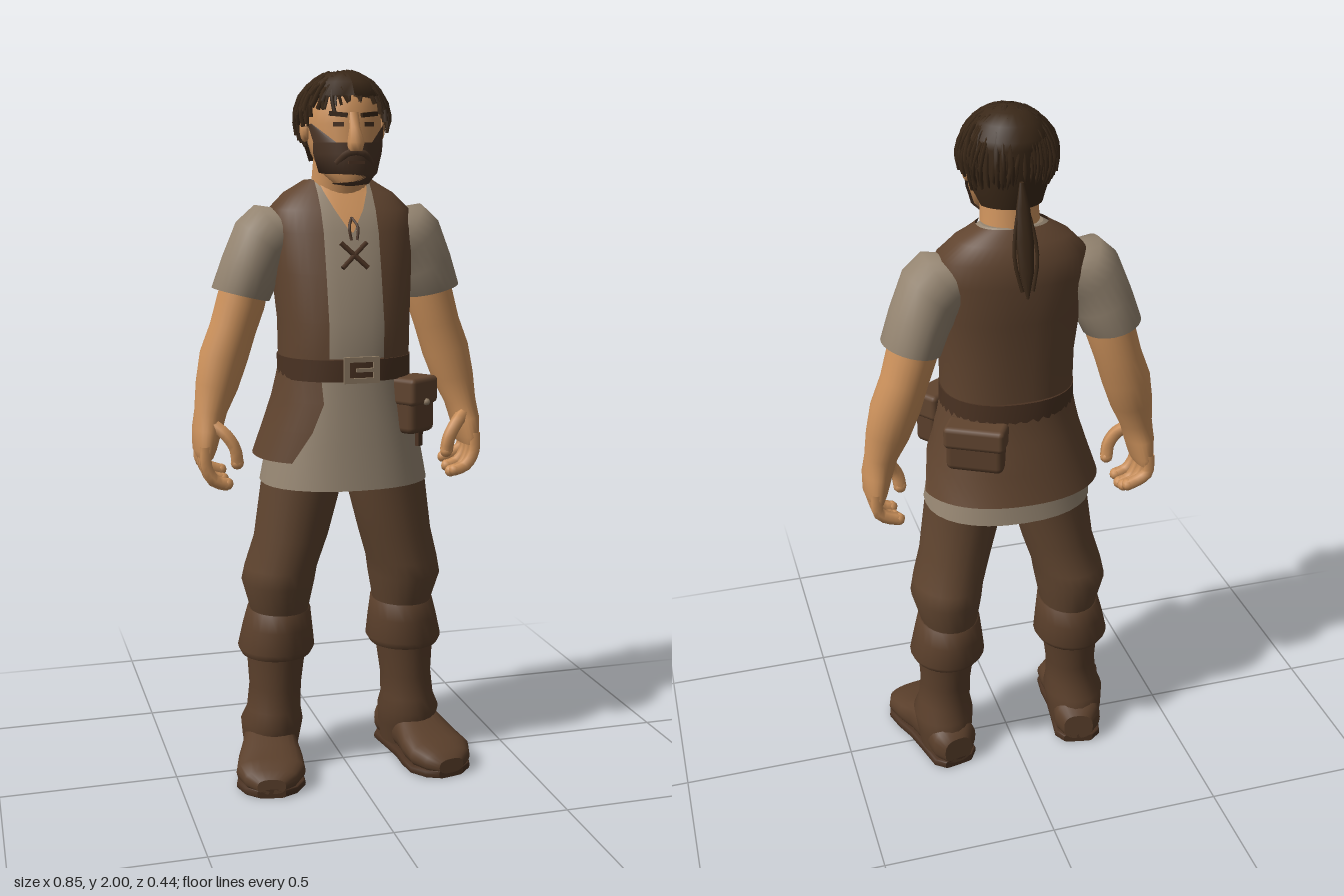
import * as THREE from 'three';
import { mergeGeometries } from 'three/addons/utils/BufferGeometryUtils.js';
import { RoundedBoxGeometry } from 'three/addons/geometries/RoundedBoxGeometry.js';

const mat = (name, color, side = THREE.FrontSide) => {
  const m = new THREE.MeshStandardMaterial({ color, side });
  m.name = name;
  return m;
};
const D = THREE.DoubleSide;
const vestBrown = mat('vest brown', 0x60442f, D);
const trouserBrown = mat('trouser brown', 0x5f442f);
const bootBrown = mat('boot brown', 0x5a3f2b);
const darkLeather = mat('dark leather', 0x4a3222);
const linen = mat('linen', 0x968672, D);
const skin = mat('skin', 0xcd925c, D);
const hairBrown = mat('hair brown', 0x3a2818, D);
const beardBrown = mat('beard brown', 0x4a3425, D);
const metal = mat('dull metal', 0x8d7a63);

// Skin over elliptical rows [x, y, z, rx, rz, roll, pitch].
// With arcs (degrees per row, 90 = front) the surface is an open sheet.
function loft(rows, { seg = 24, pow = 1, arcs = null, cap = !arcs } = {}) {
  const pos = [], idx = [], n = arcs ? seg + 1 : seg;
  const bend = (v) => Math.sign(v) * Math.abs(v) ** pow;
  rows.forEach(([x, y, z, rx, rz, roll = 0, pitch = 0], r) => {
    const [a0, a1] = arcs ? arcs[r] : [0, 360];
    const e = new THREE.Euler(pitch, 0, roll);
    for (let i = 0; i < n; i++) {
      const a = THREE.MathUtils.degToRad(a0 + ((a1 - a0) * i) / seg);
      const p = new THREE.Vector3(rx * bend(Math.cos(a)), 0, rz * bend(Math.sin(a))).applyEuler(e);
      pos.push(p.x + x, p.y + y, p.z + z);
    }
  });
  for (let r = 0; r < rows.length - 1; r++) {
    for (let i = 0; i < seg; i++) {
      const a = r * n + i, b = r * n + ((i + 1) % n);
      idx.push(a, a + n, b, b, a + n, b + n);
    }
  }
  if (cap) {
    [0, rows.length - 1].forEach((r) => {
      const c = pos.length / 3;
      pos.push(...rows[r].slice(0, 3), ...pos.slice(r * n * 3, (r + 1) * n * 3));
      for (let i = 0; i < n; i++) {
        const a = c + 1 + i, b = c + 1 + ((i + 1) % n);
        idx.push(...(r ? [c, b, a] : [c, a, b]));
      }
    });
  }
  // Turn the faces outward, whichever way the rows run
  let volume = 0;
  const v = (i) => new THREE.Vector3().fromArray(pos, i * 3);
  for (let i = 0; i < idx.length; i += 3) volume += v(idx[i]).dot(v(idx[i + 1]).cross(v(idx[i + 2])));
  if (volume < 0) idx.reverse();
  const g = new THREE.BufferGeometry();
  g.setAttribute('position', new THREE.Float32BufferAttribute(pos, 3));
  g.setIndex(idx);
  g.computeVertexNormals();
  return g;
}
const tube = (pts, radius, seg = 8, sides = 6) => new THREE.TubeGeometry(
  new THREE.CatmullRomCurve3(pts.map((p) => new THREE.Vector3(...p))), seg, radius, sides);
const grow = (rows, d) => rows.map(([x, y, z, rx, rz]) => [x, y, z, rx + d, rz + d]);

export function createModel() {
  const model = new THREE.Group();
  const add = (name, geo, m, p = [0, 0, 0], rot = [0, 0, 0], parent = model) => {
    const o = new THREE.Mesh(geo, m);
    o.name = name;
    o.position.set(...p);
    o.rotation.set(...rot);
    parent.add(o);
    return o;
  };
  let seed = 7;
  const rnd = () => ((seed = (seed * 16807) % 2147483647) / 2147483647);

  // Torso: shirt, open vest and bare throat share one profile
  const body = [[0, 1.21, 0, 0.183, 0.157], [0, 1.32, 0, 0.185, 0.157], [0, 1.45, -0.02, 0.196, 0.147],
    [0, 1.56, -0.04, 0.206, 0.138], [0, 1.62, -0.05, 0.2, 0.118], [0, 1.665, -0.057, 0.155, 0.092], [0, 1.7, -0.055, 0.096, 0.066]];
  const pow = 0.85;
  const edge = (rx, x) => THREE.MathUtils.radToDeg(Math.acos(Math.min(1, x / rx) ** (1 / pow)));
  add('shirt', loft(grow(body, -0.013), { pow, seg: 32 }), linen);
  add('vest', loft(body, { pow, seg: 40, arcs: body.map((r) => [180 - edge(r[3], 0.08), 360 + edge(r[3], 0.075)]) }), vestBrown);
  const throat = grow(body.slice(3), -0.007), open = [0.004, 0.04, 0.06, 0.07];
  add('throat', loft(throat, { pow, seg: 8, arcs: throat.map((r, i) => [edge(r[3], open[i]), 180 - edge(r[3], open[i])]) }), skin);
  for (const s of [-1, 1]) add('shirtLace', new THREE.CylinderGeometry(0.007, 0.007, 0.1, 6), darkLeather, [0, 1.5, 0.115], [-0.27, 0, s * 0.8]);
  for (const s of [-1, 1]) add('laceEnd', tube([[0, 1.6, 0.085], [s * 0.012, 1.575, 0.105], [s * 0.008, 1.54, 0.112]], 0.004), darkLeather);

  // Shirt hem and the vest tails over it
  const hem = [[0, 1.2, 0, 0.172, 0.152], [0, 1.1, 0, 0.188, 0.16], [0, 0.98, 0, 0.217, 0.172], [0, 0.86, -0.003, 0.24, 0.187]];
  add('shirtHem', loft(hem, { cap: false, pow: 0.9, seg: 32 }), linen);
  const tails = [[0, 1.2, -0.002, 0.182, 0.158], [0, 1.1, -0.006, 0.203, 0.174], [0, 1.02, -0.014, 0.228, 0.188], [0, 0.935, -0.022, 0.256, 0.2]];
  add('vestTails', loft(tails, { seg: 32, pow: 0.9, arcs: [[122, 410], [116, 394], [122, 375], [133, 350]] }), vestBrown);

  // Belt, buckle and pouches
  const band = [[0, 1.16, 0, 0.187, 0.166], [0, 1.22, 0, 0.187, 0.166]];
  add('belt', loft(band, { pow: 0.9, seg: 32 }), darkLeather);
  const buckle = new THREE.Shape([[-0.05, -0.036], [0.05, -0.036], [0.05, 0.036], [-0.05, 0.036]].map((p) => new THREE.Vector2(...p)));
  buckle.holes.push(new THREE.Path([[-0.034, -0.022], [-0.034, 0.022], [0.034, 0.022], [0.034, -0.022]].map((p) => new THREE.Vector2(...p))));
  add('buckle', new THREE.ExtrudeGeometry(buckle, { depth: 0.012, bevelEnabled: false }), metal, [0.005, 1.193, 0.162]);
  add('bucklePin', new THREE.BoxGeometry(0.05, 0.01, 0.01), metal, [0.015, 1.193, 0.17]);
  const pouch = (name, p, turn, w, h, d) => {
    const g = new THREE.Group();
    g.name = name;
    g.position.set(...p);
    g.rotation.y = turn;
    model.add(g);
    add('pouchBody', new RoundedBoxGeometry(w, h, d, 2, 0.018), bootBrown, [0, 0, 0], [0, 0, 0], g);
    add('pouchFlap', new RoundedBoxGeometry(w + 0.01, h * 0.5, d + 0.014, 2, 0.014), vestBrown, [0, h * 0.27, 0], [0, 0, 0], g);
    return g;
  };
  const front = pouch('frontPouch', [0.172, 1.082, 0.115], 0.62, 0.11, 0.155, 0.075);
  add('pouchButton', new THREE.SphereGeometry(0.01, 8, 6), metal, [0, 0.012, 0.045], [0, 0, 0], front);
  add('pouchStrap', new THREE.BoxGeometry(0.02, 0.06, 0.012), darkLeather, [0, -0.085, 0.02], [0, 0, 0], front);
  pouch('backPouch', [0.125, 1.1, -0.145], Math.PI - 0.5, 0.16, 0.13, 0.07);

  // Limbs
  for (const s of [-1, 1]) {
    const side = (rows) => rows.map(([x, y, z, rx, rz, roll = 0]) => [s * x, y, z, rx, rz, s * roll]);
    add('sleeve', loft(side([[0.13, 1.57, -0.05, 0.06, 0.07, 1.0], [0.185, 1.555, -0.05, 0.095, 0.092, 0.95], [0.22, 1.525, -0.052, 0.094, 0.096, 0.72],
      [0.253, 1.455, -0.058, 0.085, 0.093, 0.42], [0.28, 1.385, -0.066, 0.082, 0.095, 0.24], [0.278, 1.387, -0.066, 0.07, 0.08, 0.24]])), linen);
    add('arm', loft(side([[0.262, 1.43, -0.066, 0.066, 0.07, 0.3], [0.28, 1.36, -0.068, 0.068, 0.073, 0.25], [0.302, 1.29, -0.07, 0.065, 0.071, 0.25],
      [0.33, 1.21, -0.07, 0.068, 0.068, 0.25], [0.352, 1.13, -0.063, 0.06, 0.06, 0.2], [0.372, 1.06, -0.055, 0.046, 0.047, 0.15],
      [0.384, 1.01, -0.05, 0.042, 0.06, 0.1], [0.392, 0.955, -0.05, 0.033, 0.066, 0], [0.39, 0.93, -0.05, 0.022, 0.058, -0.2]])), skin);
    for (let f = 0; f < 4; f++) {
      const z = 0.002 - f * 0.034, drop = f === 3 ? 0.02 : f === 1 ? -0.01 : 0;
      add('finger', tube([[s * 0.398, 0.97, z], [s * 0.396, 0.91, z], [s * 0.372, 0.872 + drop, z], [s * 0.338, 0.86 + drop, z]], 0.0175), skin);
      add('fingertip', new THREE.SphereGeometry(0.0175, 8, 6), skin, [s * 0.338, 0.86 + drop, z]);
    }
    add('thumb', tube([[s * 0.375, 1.03, -0.02], [s * 0.34, 1.0, 0.005], [s * 0.316, 0.96, 0.012], [s * 0.31, 0.92, 0.008]], 0.019), skin);
    add('thumbTip', new THREE.SphereGeometry(0.019, 8, 6), skin, [s * 0.31, 0.92, 0.008]);

    add('trouserLeg', loft(side([[0.09, 1.05, 0, 0.09, 0.115], [0.108, 0.95, 0, 0.112, 0.12], [0.125, 0.85, 0, 0.115, 0.117], [0.155, 0.7, -0.004, 0.105, 0.116],
      [0.182, 0.61, -0.018, 0.103, 0.125], [0.19, 0.565, -0.022, 0.104, 0.128], [0.186, 0.485, -0.028, 0.085, 0.106], [0.186, 0.44, -0.03, 0.075, 0.09]])), trouserBrown);
    add('bootCuff', loft(side([[0.186, 0.475, -0.03, 0.075, 0.09], [0.186, 0.482, -0.03, 0.09, 0.108], [0.19, 0.43, -0.033, 0.1, 0.115],
      [0.194, 0.365, -0.034, 0.111, 0.118], [0.195, 0.345, -0.032, 0.1, 0.105]])), bootBrown);
    add('bootShaft', loft(side([[0.195, 0.37, -0.03, 0.087, 0.09], [0.2, 0.25, -0.026, 0.075, 0.083], [0.205, 0.18, -0.025, 0.078, 0.085],
      [0.21, 0.14, -0.03, 0.09, 0.103], [0.21, 0.09, -0.042, 0.084, 0.1], [0.21, 0.03, -0.05, 0.075, 0.09]])), bootBrown);

    // Foot rows: [forward, half width, top]
    const foot = new THREE.Group();
    foot.name = 'foot';
    foot.position.set(s * 0.215, 0, -0.04);
    foot.rotation.y = s * 0.2;
    model.add(foot);
    const steps = [[-0.112, 0.045, 0.1], [-0.085, 0.07, 0.13], [0, 0.075, 0.15], [0.07, 0.08, 0.135], [0.13, 0.093, 0.105], [0.19, 0.098, 0.09], [0.235, 0.075, 0.075], [0.257, 0.04, 0.055]];
    const along = (low, high) => steps.map(([z, w, t]) => [0, (low + high(t)) / 2, z, w, (high(t) - low) / 2, 0, Math.PI / 2]);
    add('bootFoot', loft(along(0.012, (t) => t), { pow: 0.8 }), bootBrown, [0, 0, 0], [0, 0, 0], foot);
    add('bootSole', loft(along(0, () => 0.026), { pow: 0.4 }), darkLeather, [0, 0, 0], [0, 0, 0], foot);
  }

  // Neck, head and face
  add('neck', loft([[0, 1.6, -0.055, 0.09, 0.075], [0, 1.68, -0.04, 0.08, 0.072], [0, 1.78, -0.025, 0.074, 0.08]]), skin);
  const skull = [[0, 1.69, 0.07, 0.042, 0.045], [0, 1.72, 0.048, 0.072, 0.075], [0, 1.77, 0.015, 0.092, 0.105], [0, 1.8, 0.005, 0.098, 0.113],
    [0, 1.85, -0.003, 0.104, 0.117], [0, 1.91, -0.008, 0.1, 0.117], [0, 1.96, -0.01, 0.072, 0.085], [0, 1.98, -0.01, 0.02, 0.02]];
  add('head', loft(skull), skin);
  const beard = grow(skull.slice(0, 4), 0.008);
  add('beard', loft([[0, 1.684, 0.07, 0.004, 0.004], ...beard], { arcs: [[0, 360], [0, 360], [-10, 190], [15, 165], [22, 158]] }), beardBrown);
  add('nose', loft([[0, 1.88, 0.104, 0.014, 0.01], [0, 1.84, 0.116, 0.015, 0.016], [0, 1.8, 0.127, 0.024, 0.027], [0, 1.778, 0.12, 0.02, 0.018]], { seg: 10 }), skin);
  add('mouth', new THREE.BoxGeometry(0.045, 0.008, 0.008), darkLeather, [0, 1.748, 0.132]);
  for (const s of [-1, 1]) {
    add('sideburn', loft(grow(skull.slice(3, 5), 0.007), { seg: 6, arcs: s > 0 ? [[22, 62], [14, 24]] : [[118, 158], [156, 166]] }), beardBrown);
    add('moustache', tube([[0, 1.776, 0.124], [s * 0.025, 1.77, 0.122], [s * 0.048, 1.745, 0.106]], 0.01), beardBrown);
    add('eyebrow', new THREE.BoxGeometry(0.05, 0.012, 0.016), hairBrown, [s * 0.042, 1.874, 0.103], [0, s * 0.35, s * 0.1]);
    add('eye', new THREE.BoxGeometry(0.03, 0.012, 0.009), darkLeather, [s * 0.042, 1.848, 0.104], [0, s * 0.35, 0]);
    add('ear', new THREE.SphereGeometry(0.03, 10, 8).scale(0.5, 1.1, 0.8), skin, [s * 0.106, 1.835, -0.01]);
  }

  // Hair: a close cap with loose locks over it
  const cap = [[0, 1.75, -0.03, 0.088, 0.085], [0, 1.8, -0.02, 0.106, 0.106], [0, 1.86, -0.01, 0.113, 0.12], [0, 1.905, -0.008, 0.112, 0.124],
    [0, 1.925, -0.008, 0.108, 0.12], [0, 1.96, -0.01, 0.086, 0.097], [0, 1.984, -0.01, 0.053, 0.06], [0, 1.993, -0.01, 0.003, 0.003]];
  add('hairCap', loft(cap, { arcs: [[200, 340], [186, 354], [168, 372], [150, 390], [90, 450], [90, 450], [90, 450], [90, 450]] }), hairBrown);
  const locks = [];
  for (let i = 0; i < 110; i++) {
    const a = i * 2.39996, back = (1 - Math.cos(a)) / 2;
    const start = 0.1 + rnd() * 0.7, end = 1.1 + 1.25 * back ** 0.8 + (rnd() - 0.5) * 0.3, twist = (rnd() - 0.5) * 0.6;
    const pts = [];
    for (let k = 0; k <= 4; k++) {
      const t = k / 4, phi = start + (end - start) * t, az = a + twist * t, out = 0.97 + rnd() * 0.07 + 0.05 * t * Math.abs(Math.sin(a));
      pts.push([0.123 * out * Math.sin(phi) * Math.sin(az), 1.866 + 0.124 * Math.min(out, 1.01) * Math.cos(phi), -0.009 + 0.121 * out * Math.sin(phi) * Math.cos(az)]);
    }
    locks.push(tube(pts, 0.004 + rnd() * 0.004, 6, 4));
  }
  add('hairLocks', mergeGeometries(locks), hairBrown);
  add('ponytail', loft([[0, 1.83, -0.142, 0.006, 0.006], [0, 1.77, -0.155, 0.018, 0.01], [0, 1.69, -0.172, 0.024, 0.012], [0, 1.61, -0.19, 0.02, 0.01], [0, 1.54, -0.203, 0.003, 0.003]], { seg: 10 }), hairBrown);
  for (const s of [-1, 1]) add('ponytailStrand', tube([[0, 1.8, -0.145], [s * 0.022, 1.72, -0.165], [s * 0.03, 1.64, -0.185], [s * 0.014, 1.56, -0.2]], 0.005), hairBrown);
  return model;
}
